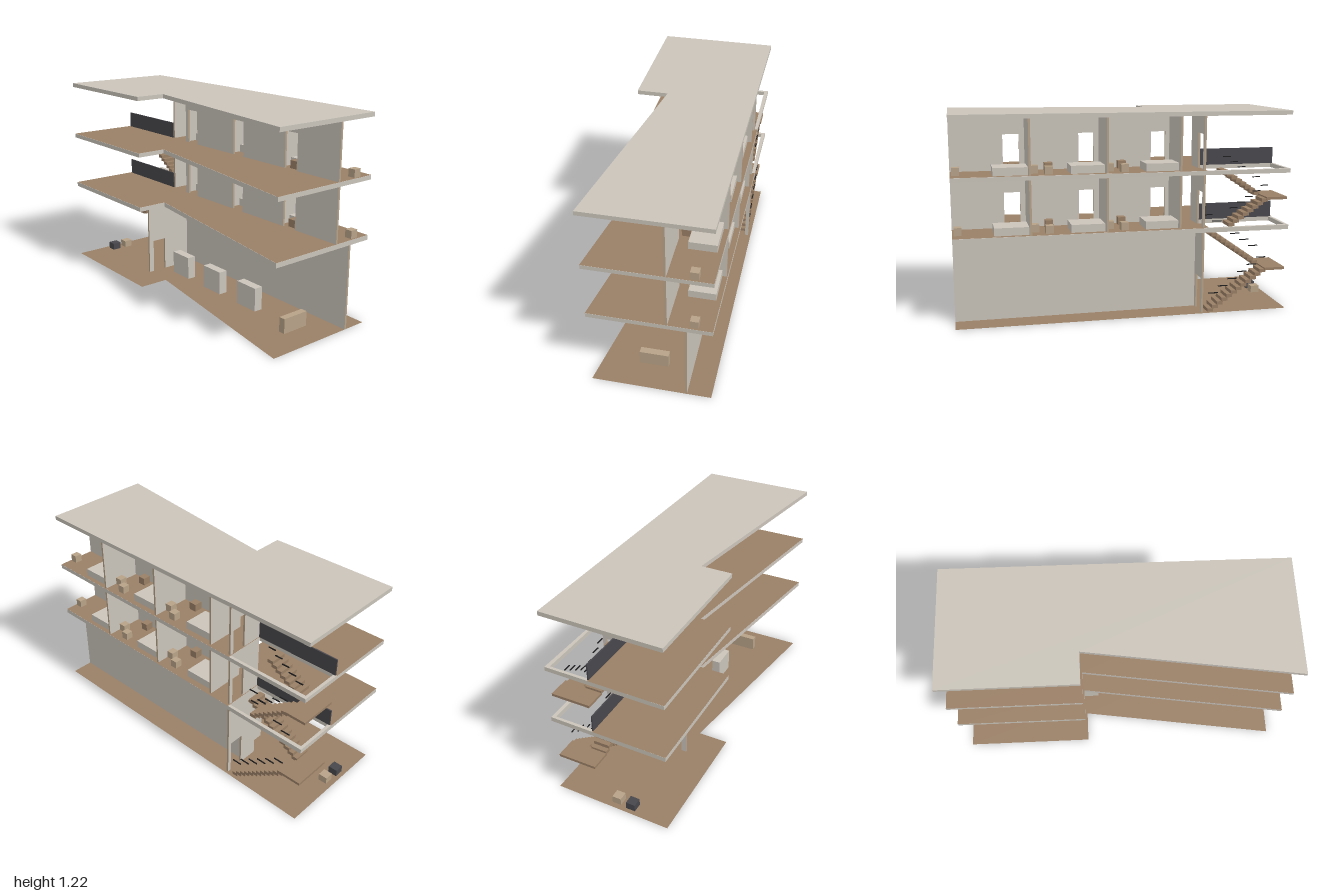
import * as THREE from 'three';

const mat = (name, color, side = THREE.FrontSide) => {
  const m = new THREE.MeshStandardMaterial({ color, side });
  m.name = name;
  return m;
};

export function createModel() {
  const concrete = mat('pale concrete', 0xcac4ba);
  const wood = mat('brown wood', 0x9a7f65, THREE.DoubleSide);
  const tan = mat('tan wood', 0xb7a288);
  const dark = mat('dark panel', 0x48474c);
  const black = mat('black rail', 0x1c1c1e);
  const model = new THREE.Group();

  // box given by its limits on each axis
  const box = (parent, name, [x0, x1], [y0, y1], [z0, z1], material) => {
    const m = new THREE.Mesh(new THREE.BoxGeometry(x1 - x0, y1 - y0, z1 - z0), material);
    m.position.set((x0 + x1) / 2, (y0 + y1) / 2, (z0 + z1) / 2);
    m.name = name;
    parent.add(m);
    return m;
  };
  const group = (name) => {
    const g = new THREE.Group();
    g.name = name;
    model.add(g);
    return g;
  };

  // plans are drawn in x, z and laid flat
  const plan = (pts) => new THREE.Shape(pts.map(([x, z]) => new THREE.Vector2(x, -z)));
  const rest = [[0.335, 1], [-0.36, 1], [-0.175, -0.215], [-0.36, -0.215], [-0.357, -1]];
  const outline = [[0.357, -0.995], ...rest];
  const stairHole = [[0.09, -0.475], [0.333, -0.475], [0.333, -0.978], [0.09, -0.978]];

  const slab = (name, y0, y1, open) => {
    const s = plan(outline);
    if (open) s.holes.push(plan(stairHole));
    const g = new THREE.ExtrudeGeometry(s, { depth: y1 - y0, bevelEnabled: false });
    const m = new THREE.Mesh(g.rotateX(-Math.PI / 2).translate(0, y0, 0), concrete);
    m.name = name;
    model.add(m);
  };
  const floor = (name, y, pts) => {
    const m = new THREE.Mesh(new THREE.ShapeGeometry(plan(pts)).rotateX(-Math.PI / 2), wood);
    m.position.y = y;
    m.name = name;
    model.add(m);
  };

  // straight wall with tan end faces and door openings
  const T = 0.006;
  const wall = (name, axis, at, from, to, y0, y1, doors = []) => {
    const g = group(name);
    const mats = axis === 'x'
      ? [tan, tan, concrete, concrete, concrete, concrete]
      : [concrete, concrete, concrete, concrete, tan, tan];
    const piece = (n, a, b, lo, hi) => {
      const across = [at - T, at + T];
      box(g, n, axis === 'x' ? [a, b] : across, [lo, hi], axis === 'x' ? across : [a, b], mats);
    };
    let start = from;
    for (const [a, b] of doors) {
      piece('wallPanel', start, a, y0, y1);
      piece('doorHead', a, b, y0 + 0.213, y1);
      start = b;
    }
    piece('wallPanel', start, to, y0, y1);
  };

  // floors and roof
  floor('groundFloor', 0.001, outline);
  const levels = [[0.5, 0.527], [0.845, 0.87]];
  levels.forEach(([y0, y1], i) => {
    slab('slab' + (i + 1), y0, y1, true);
    floor('floorFinish' + (i + 1), y1 + 0.001,
      [[0.09, -0.999], [0.09, -0.475], [0.352, -0.475], ...rest]);
  });
  slab('roof', 1.19, 1.215, false);

  // ground storey walls
  wall('longGroundWall', 'z', 0.19, -0.465, 1, 0, 0.5);
  wall('lobbyBackWall', 'x', -0.4, -0.175, 0.085, 0, 0.5, [[-0.142, -0.05]]);
  wall('stairWall', 'x', -0.465, 0.095, 0.335, 0, 0.5, [[0.22, 0.312]]);

  // ground storey furniture
  const ground = group('groundFurniture');
  box(ground, 'receptionCounter', [-0.12, 0.052], [0, 0.09], [0.79, 0.83], tan);
  for (const z of [-0.216, 0.105, 0.43])
    box(ground, 'cabinet', [-0.05, 0.005], [0, 0.145], [z - 0.08, z + 0.08], concrete);
  box(ground, 'tanBin', [-0.04, 0.015], [0, 0.045], [-0.965, -0.91], tan);
  box(ground, 'darkBin', [-0.135, -0.078], [0, 0.045], [-0.972, -0.915], dark);

  // upper storeys: room walls, beds, tables and stools
  [[0.527, 0.845], [0.87, 1.19]].forEach(([y0, y1]) => {
    wall('corridorWall', 'z', 0.084, -0.32, 1, y0, y1,
      [[-0.29, -0.2], [0.155, 0.245], [0.597, 0.692]]);
    for (const z of [0.56, 0.116, -0.322]) wall('roomDivider', 'x', z, 0.09, 0.335, y0, y1);
    wall('stairWall', 'x', -0.465, 0.09, 0.335, y0, y1, [[0.22, 0.312]]);
    const g = group('roomFurniture');
    const h = [y0, y0 + 0.047];
    [0.568, 0.127, -0.314].forEach((z, i) => {
      box(g, 'bed', [0.155, 0.31], h, [z, z + 0.198], concrete);
      box(g, 'table', [0.21, 0.257], h, [z + 0.378, z + 0.422], tan);
      if (i === 0) {
        box(g, 'nightstand', [0.1, 0.15], h, [z + 0.05, z + 0.1], wood);
      } else {
        box(g, 'nightstand', [0.1, 0.15], h, [z + 0.283, z + 0.33], wood);
        box(g, 'stool', [0.26, 0.305], h, [z + 0.3, z + 0.345], tan);
      }
    });
    // dark guard beside the stair opening
    box(model, 'stairGuard', [0.086, 0.094], [y0, y0 + 0.1], [-0.99, -0.472], dark);
  });

  // stairs: two flights, a half landing and broken handrails
  const stair = (yA, yB, steps, rails) => {
    const g = group('stairs');
    const mid = (yA + yB) / 2, rise = (mid - yA) / steps, run = 0.03, end = -0.865;
    for (let i = 0; i < steps; i++) {
      const z = end + (steps - i - 0.5) * run;
      const dz = [z - 0.019, z + 0.019];
      const lo = yA + i * rise;
      box(g, 'lowerStep', [0.225, 0.33], [lo, lo + rise], dz, wood);
      const up = yB - (i + 1) * rise;
      box(g, 'upperStep', [0.1, 0.2], [up, up + rise], dz, wood);
    }
    box(g, 'landing', [0.1, 0.335], [mid - 0.008, mid + 0.008], [-0.99, end + 0.005], wood);
    const length = steps * run;
    for (let i = 0; i < rails; i++) {
      const t = (i + 0.5) / rails;
      const half = (length / rails) / 2;
      const z = end + (1 - t) * length;
      const dz = [z - half, z + half];
      const lo = yA + t * (mid - yA) + 0.095, hi = yB - t * (yB - mid) + 0.095;
      box(g, 'lowerRail', [0.327, 0.333], [lo, lo + 0.005], dz, black);
      box(g, 'upperRail', [0.197, 0.203], [hi, hi + 0.005], dz, black);
    }
  };
  stair(0, 0.5, 12, 6);
  stair(0.527, 0.85, 8, 5);

  return model;
}
